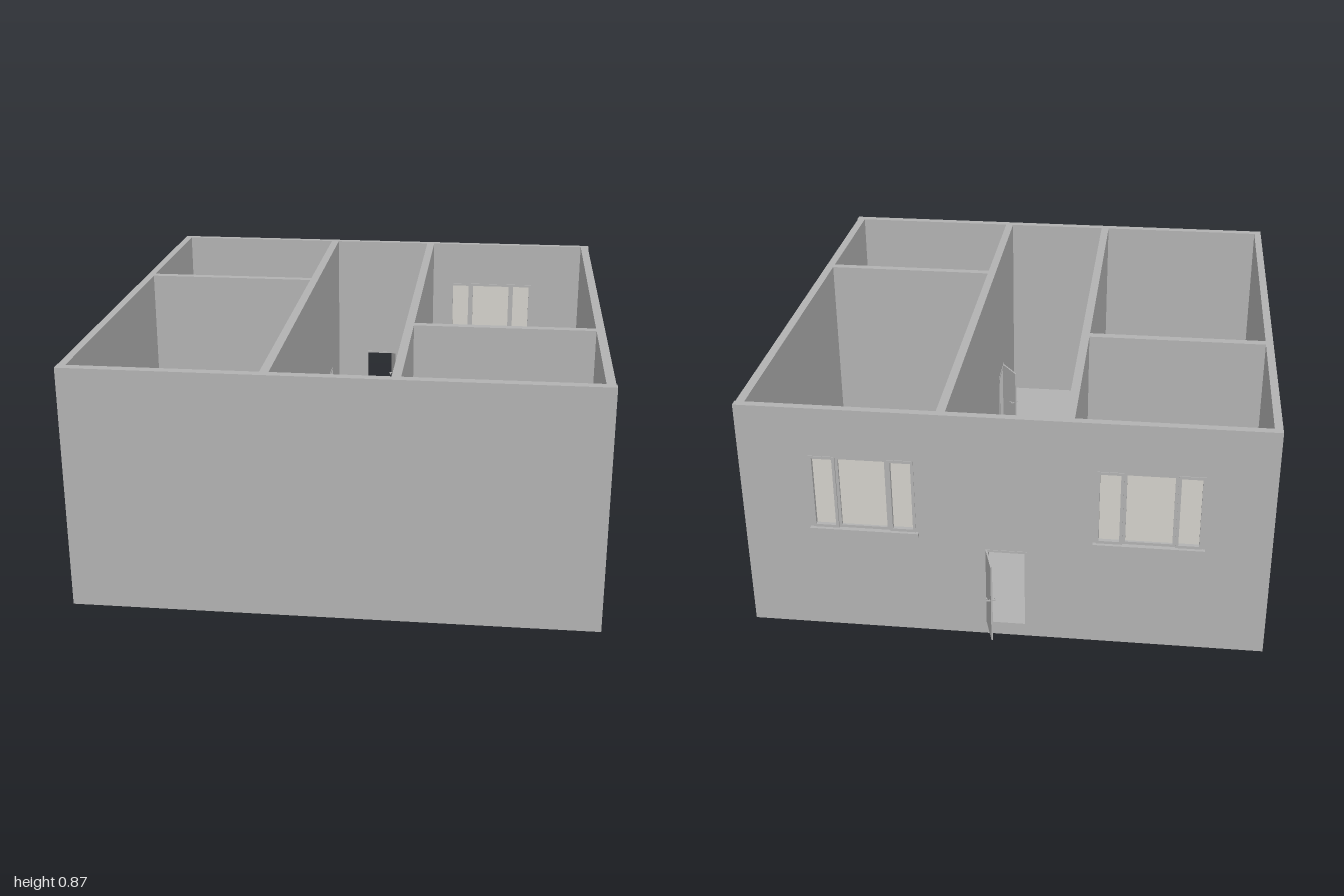
import * as THREE from 'three';

const wallMat = new THREE.MeshStandardMaterial({ color: 0xb2b2b2 });
wallMat.name = 'wall grey';
const glassMat = new THREE.MeshStandardMaterial({ color: 0xd3d1cb });
glassMat.name = 'pale glass';

const H = 0.87, FLOOR = 0.05, DOOR_TOP = 0.355;

// Box given by its minimum and maximum corners
function box(parent, name, x0, x1, y0, y1, z0, z1, mat = wallMat) {
  const m = new THREE.Mesh(new THREE.BoxGeometry(x1 - x0, y1 - y0, z1 - z0), mat);
  m.position.set((x0 + x1) / 2, (y0 + y1) / 2, (z0 + z1) / 2);
  m.name = name;
  parent.add(m);
  return m;
}

// Upright wall in the xy plane with rectangular openings [x0, x1, y0, y1]
function wallGeometry(a, b, openings, thick) {
  const rect = (p, x0, x1, y0, y1) =>
    p.moveTo(x0, y0).lineTo(x1, y0).lineTo(x1, y1).lineTo(x0, y1).closePath();
  const shape = new THREE.Shape();
  rect(shape, a, b, 0, H);
  for (const o of openings) {
    const hole = new THREE.Path();
    rect(hole, ...o);
    shape.holes.push(hole);
  }
  return new THREE.ExtrudeGeometry(shape, { depth: thick, bevelEnabled: false });
}

// Door leaf swung from a hinge point to a tip point, with a handle on each face
function door(parent, name, hx, hz, tx, tz) {
  const g = new THREE.Group();
  const len = Math.hypot(tx - hx, tz - hz);
  g.name = name;
  g.position.set(hx, 0, hz);
  g.rotation.y = Math.atan2(-(tz - hz), tx - hx);
  box(g, 'doorLeaf', 0, len, FLOOR, DOOR_TOP, -0.003, 0.003);
  for (const s of [-1, 1]) {
    const z0 = s > 0 ? 0.003 : -0.014, z1 = s > 0 ? 0.014 : -0.003;
    box(g, 'handleStem', len - 0.014, len - 0.01, 0.208, 0.212, z0, z1);
    const z = s * 0.014;
    box(g, 'handleLever', len - 0.03, len - 0.01, 0.208, 0.212, z - 0.002, z + 0.002);
  }
  parent.add(g);
}

// Lining of a doorway centred on x in local space
function doorFrame(parent, width, thick) {
  const g = new THREE.Group(), w = width / 2, t = 0.008, d = thick / 2 + 0.002;
  g.name = 'doorFrame';
  for (const s of [-1, 1])
    box(g, 'doorJamb', s * (w - t / 2) - t / 2, s * (w - t / 2) + t / 2, FLOOR, DOOR_TOP, -d, d);
  box(g, 'doorHead', -w + t, w - t, DOOR_TOP - t, DOOR_TOP, -d, d);
  parent.add(g);
  return g;
}

// Three-light window with side casements and a projecting sill
function windowUnit(parent, cx) {
  const g = new THREE.Group(), w = 0.18, y0 = 0.41, y1 = 0.69;
  g.name = 'window';
  g.position.x = cx;
  box(g, 'windowGlass', -w, w, y0, y1, -0.878, -0.872, glassMat);
  const edges = [-w, -0.09, 0.09, w];
  for (let i = 0; i < 3; i++) {
    const a = edges[i], b = edges[i + 1], t = 0.01;
    const z0 = i === 1 ? -0.887 : -0.893, z1 = -0.858;
    box(g, 'sashStile', a, a + t, y0, y1, z0, z1);
    box(g, 'sashStile', b - t, b, y0, y1, z0, z1);
    box(g, 'sashRail', a + t, b - t, y0, y0 + t, z0, z1);
    box(g, 'sashRail', a + t, b - t, y1 - t, y1, z0, z1);
  }
  box(g, 'windowSill', -0.19, 0.19, 0.392, 0.41, -0.905, -0.86);
  parent.add(g);
}

export function createModel() {
  const house = new THREE.Group();
  house.name = 'house';

  // Floor slab
  box(house, 'floor', -0.91, 0.91, 0, FLOOR - 0.03, -0.89, 1);
  box(house, 'floorFinish', -0.89, 0.89, FLOOR - 0.03, FLOOR, -0.87, 0.98);

  // Outer walls
  box(house, 'frontWall', -0.91, 0.91, 0, H, 0.967, 1);
  box(house, 'rightWall', -0.91, -0.882, 0, H, -0.862, 0.967);
  box(house, 'leftWall', 0.876, 0.907, 0.02, H, -0.862, 0.967);
  const back = new THREE.Mesh(wallGeometry(-0.91, 0.91, [
    [-0.675, -0.315, 0.41, 0.69],
    [0.305, 0.665, 0.41, 0.69],
    [-0.08, 0.065, FLOOR, DOOR_TOP],
  ], 0.028), wallMat);
  back.name = 'backWall';
  back.position.z = -0.89;
  house.add(back);
  for (const x of [-0.495, 0.485]) windowUnit(house, x);
  doorFrame(house, 0.145, 0.028).position.set(-0.0075, 0, -0.876);

  // Corridor walls with two doorways each; local x runs along -z
  for (const [x, name] of [[-0.236, 'corridorWallRight'], [0.195, 'corridorWallLeft']]) {
    const wall = new THREE.Mesh(wallGeometry(-0.967, 0.862, [
      [0.455, 0.61, FLOOR, DOOR_TOP],
      [-0.605, -0.45, FLOOR, DOOR_TOP],
    ], 0.031), wallMat);
    wall.name = name;
    wall.rotation.y = Math.PI / 2;
    wall.position.x = x;
    house.add(wall);
    for (const z of [-0.5325, 0.5275]) {
      const f = doorFrame(house, 0.155, 0.031);
      f.rotation.y = Math.PI / 2;
      f.position.set(x + 0.0155, 0, z);
    }
  }

  // Room dividers
  box(house, 'roomDividerRight', -0.882, -0.236, 0, H, -0.212, -0.18);
  box(house, 'roomDividerLeft', 0.226, 0.876, 0, H, 0.37, 0.401);

  // Open doors
  door(house, 'backDoor', 0.062, -0.89, 0.03, -0.995);
  door(house, 'roomDoor', -0.205, -0.465, -0.275, -0.565);
  door(house, 'roomDoor', 0.195, -0.465, 0.265, -0.56);
  door(house, 'roomDoor', -0.203, 0.585, -0.135, 0.505);
  door(house, 'roomDoor', 0.194, 0.585, 0.128, 0.495);
  return house;
}
